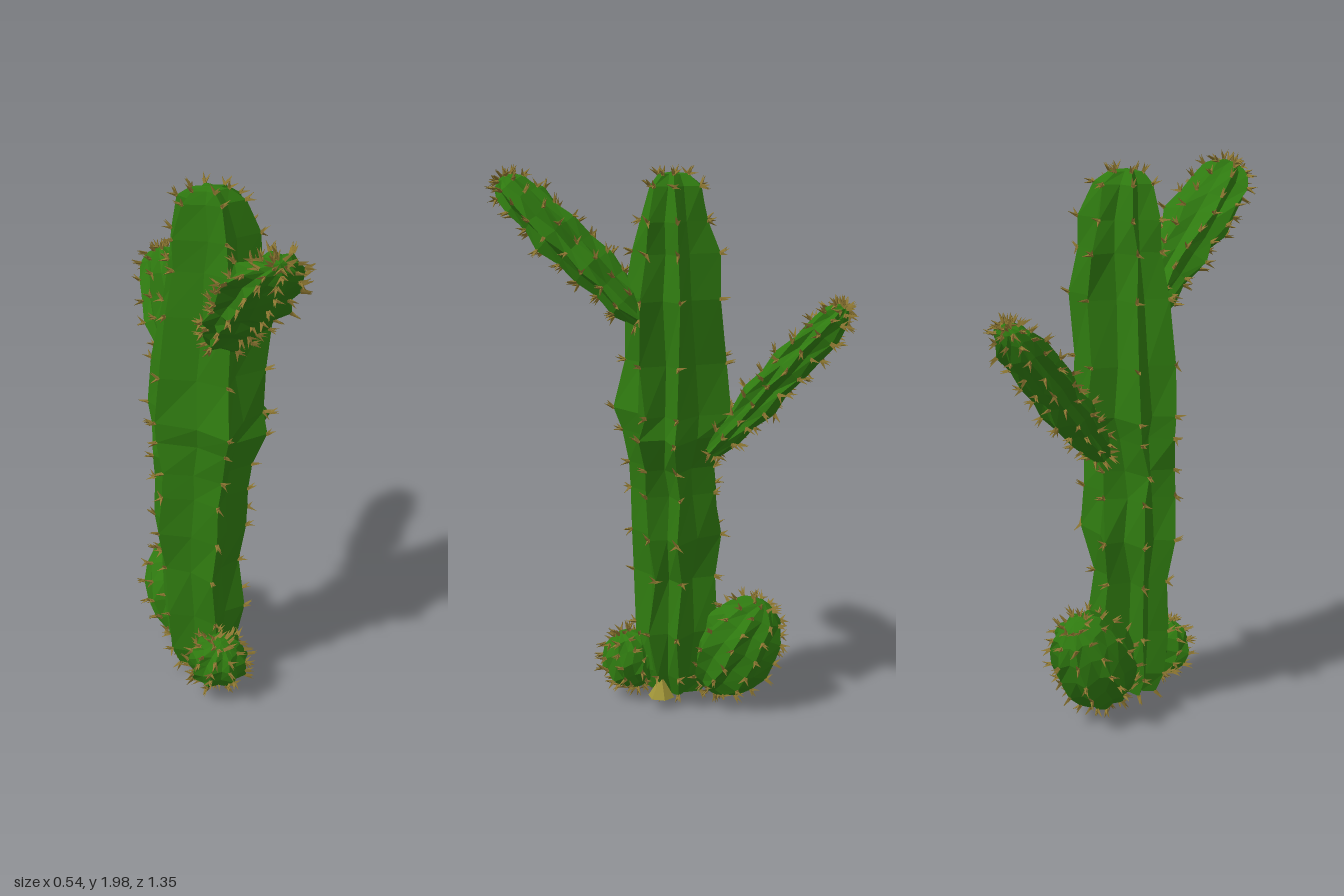
import * as THREE from 'three';
import { mergeGeometries } from 'three/addons/utils/BufferGeometryUtils.js';

const UP = new THREE.Vector3(0, 1, 0);
const skin = new THREE.MeshStandardMaterial({ color: 0x2f7a10, flatShading: true });
const spine = new THREE.MeshStandardMaterial({ color: 0x8a7430, flatShading: true });
const wood = new THREE.MeshStandardMaterial({ color: 0xa09438, flatShading: true });

// Small seeded generator, values in -1..1
let seed = 7;
const rnd = () => {
  seed = (seed * 16807) % 2147483647;
  return (seed / 2147483647) * 2 - 1;
};

// A cluster of three fine thorns growing from a rib
function thornCluster(point, outward, length) {
  return [0, 1, 2].map(() => {
    const dir = outward.clone().add(new THREE.Vector3(rnd(), rnd(), rnd()).multiplyScalar(0.75)).normalize();
    const g = new THREE.ConeGeometry(0.008, length, 3, 1, true);
    g.translate(0, length * 0.42, 0);
    g.applyQuaternion(new THREE.Quaternion().setFromUnitVectors(UP, dir));
    return g.translate(point.x, point.y, point.z);
  });
}

// Ribbed body: each row is { y, cx, radii } with one radius per rib; valleys lie between ribs.
// twist sways the ribs sideways, bump varies their height.
function ribbedBody(name, rows, angles, { sx = 1, sz = 1, valley, twist, bump, thorn }) {
  const n = angles.length, m = n * 2;
  const pos = [], index = [], thorns = [];
  const lastRow = rows.length - 1;
  rows.forEach(({ y, cx, radii }, i) => {
    for (let k = 0; k < n; k++) {
      const next = (k + 1) % n;
      const a = angles[k] + rnd() * twist;
      const r = radii[k] * (1 + rnd() * bump);
      const b = (angles[k] + angles[next] + (next === 0 ? Math.PI * 2 : 0)) / 2 + rnd() * twist;
      const v = valley * (1 + rnd() * bump) * (radii[k] + radii[next]) / 2;
      const tip = new THREE.Vector3(cx + sx * r * Math.cos(a), y, sz * r * Math.sin(a));
      pos.push(tip.x, tip.y, tip.z, cx + sx * v * Math.cos(b), y, sz * v * Math.sin(b));
      const lift = i === lastRow ? 1.2 : i === 0 ? -0.8 : 0.25;
      thorns.push(...thornCluster(tip, new THREE.Vector3(Math.cos(a), lift, Math.sin(a)).normalize(), thorn));
    }
  });
  const bottom = pos.length / 3, top = bottom + 1;
  pos.push(rows[0].cx, rows[0].y - 0.005, 0, rows[lastRow].cx, rows[lastRow].y + 0.008, 0);
  for (let k = 0; k < m; k++) {
    const j = (k + 1) % m, last = lastRow * m;
    for (let i = 0; i < lastRow; i++) {
      const a = i * m + k, b = i * m + j;
      index.push(a, a + m, b, b, a + m, b + m);
    }
    index.push(bottom, k, j, top, last + j, last + k);
  }
  const g = new THREE.BufferGeometry();
  g.setAttribute('position', new THREE.Float32BufferAttribute(pos, 3));
  g.setIndex(index);
  const body = g.toNonIndexed();
  body.computeVertexNormals();
  const bodyMesh = new THREE.Mesh(body, skin);
  bodyMesh.name = name + 'Body';
  const thornMesh = new THREE.Mesh(mergeGeometries(thorns), spine);
  thornMesh.name = name + 'Thorns';
  const group = new THREE.Group();
  group.name = name;
  group.add(bodyMesh, thornMesh);
  return group;
}

// Evenly ribbed shoot from a list of [height fraction, relative radius]
function shoot(name, profile, length, ribs, base, tilt, options) {
  const rows = profile.map(([t, r]) => ({ y: t * length, cx: 0, radii: Array(ribs).fill(r) }));
  const angles = Array.from({ length: ribs }, (_, k) => (k / ribs) * Math.PI * 2);
  const group = ribbedBody(name, rows, angles, options);
  group.position.set(...base);
  group.rotation.x = tilt;
  return group;
}

export function createModel() {
  const model = new THREE.Group();
  model.name = 'cactus';

  // Trunk: height, sideways shift, then the six rib radii
  const trunkRows = [
    [0.05, -0.03, 0.08, 0.08, 0.11, 0.10, 0.10, 0.10],
    [0.13, -0.03, 0.13, 0.12, 0.15, 0.14, 0.14, 0.15],
    [0.3, -0.03, 0.18, 0.15, 0.15, 0.15, 0.16, 0.17],
    [0.5, -0.04, 0.15, 0.14, 0.16, 0.14, 0.16, 0.15],
    [0.66, -0.03, 0.21, 0.16, 0.16, 0.18, 0.20, 0.18],
    [0.82, -0.03, 0.19, 0.16, 0.17, 0.17, 0.19, 0.15],
    [0.92, -0.02, 0.18, 0.17, 0.17, 0.18, 0.20, 0.15],
    [1.04, 0, 0.27, 0.20, 0.19, 0.21, 0.23, 0.19],
    [1.12, 0, 0.21, 0.19, 0.23, 0.22, 0.25, 0.22],
    [1.3, 0, 0.20, 0.19, 0.17, 0.20, 0.23, 0.20],
    [1.53, 0.02, 0.20, 0.20, 0.17, 0.19, 0.20, 0.18],
    [1.69, 0.02, 0.16, 0.15, 0.14, 0.16, 0.17, 0.18],
    [1.8, 0.02, 0.16, 0.15, 0.11, 0.16, 0.16, 0.13],
    [1.92, 0.01, 0.11, 0.11, 0.08, 0.12, 0.13, 0.11],
    [1.96, 0, 0.06, 0.06, 0.05, 0.07, 0.07, 0.06],
  ].map(([y, cx, ...radii]) => ({ y, cx, radii }));
  model.add(ribbedBody('trunk', trunkRows, [-0.37, 0.34, 1.57, 3.02, 3.77, 4.71],
    { valley: 0.62, twist: 0.08, bump: 0.03, thorn: 0.04 }));

  // Two flattened arms, the high one forward and the low one backward
  const armProfile = [
    [0, 0.5], [0.12, 0.8], [0.24, 0.8], [0.36, 1], [0.48, 0.92], [0.6, 1.06],
    [0.72, 0.95], [0.84, 0.95], [0.93, 0.74], [0.98, 0.48], [1, 0.2],
  ];
  model.add(shoot('frontArm', armProfile, 0.72, 8, [0.01, 1.45, 0.1], 0.83,
    { sx: 0.135, sz: 0.082, valley: 0.78, twist: 0.1, bump: 0.12, thorn: 0.04 }));
  model.add(shoot('backArm', armProfile, 0.71, 8, [0, 0.98, -0.15], -0.72,
    { sx: 0.115, sz: 0.068, valley: 0.78, twist: 0.1, bump: 0.1, thorn: 0.04 }));

  // Round offshoots at the foot
  const ball = (steps) => Array.from({ length: steps }, (_, i) => {
    const a = Math.PI * (0.09 + 0.82 * i / (steps - 1));
    return [(1 - Math.cos(a)) / 2, Math.sin(a)];
  });
  model.add(shoot('backOffshoot', ball(8), 0.41, 9, [-0.04, 0.06, -0.13], -0.54,
    { sx: 0.155, sz: 0.158, valley: 0.83, twist: 0.07, bump: 0.05, thorn: 0.038 }));
  model.add(shoot('frontOffshoot', ball(7), 0.22, 9, [-0.03, 0.05, 0.13], 0.35,
    { sx: 0.12, sz: 0.108, valley: 0.83, twist: 0.1, bump: 0.1, thorn: 0.04 }));

  // Woody root stub showing at the base
  const root = new THREE.Mesh(new THREE.ConeGeometry(0.05, 0.08, 6), wood);
  root.name = 'rootStub';
  root.position.set(0.06, 0.09, 0.025);
  model.add(root);

  return model;
}
